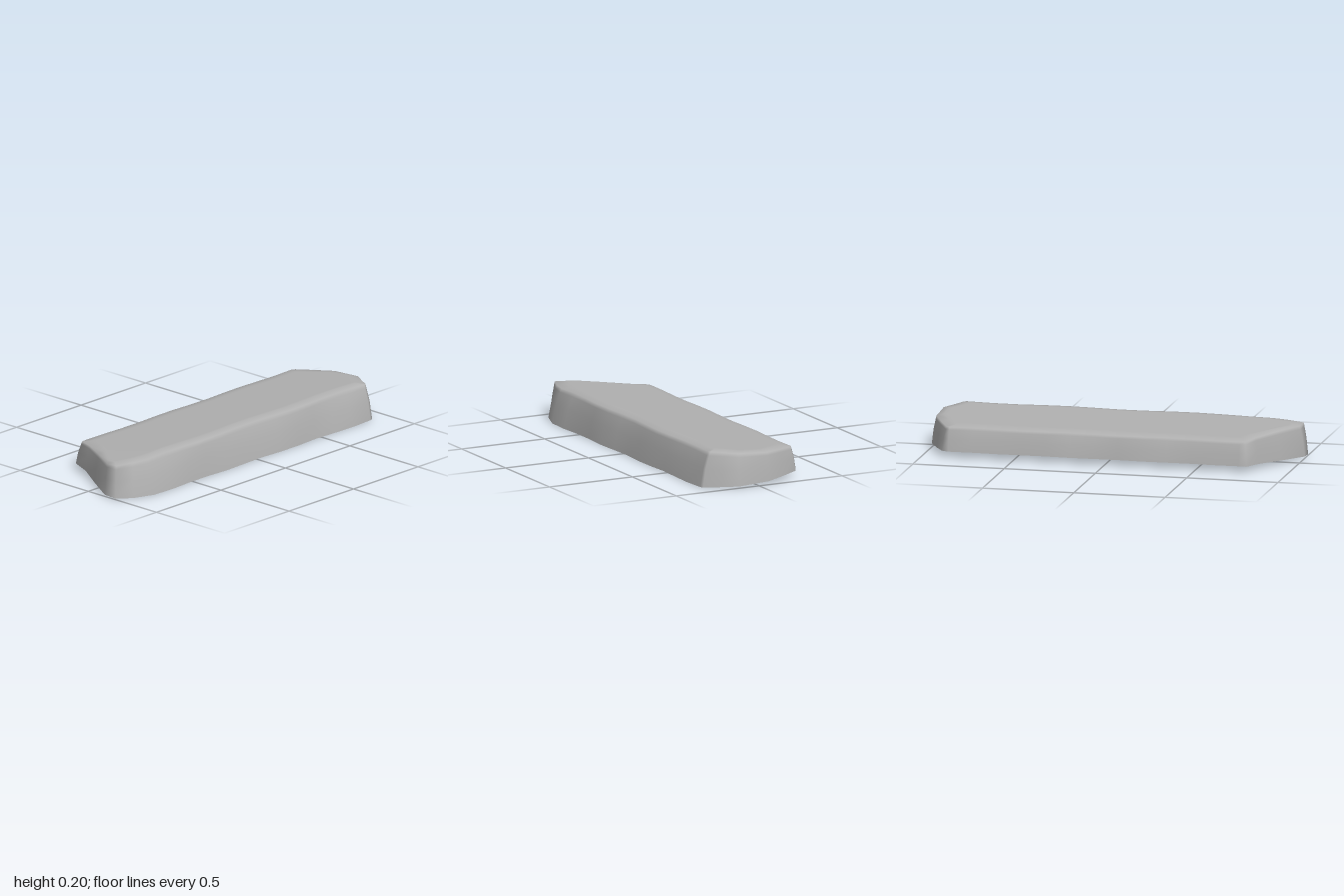
import * as THREE from 'three';

// Worn stone slab: stacked outline rings with a tapered side and a soft top edge
export function createModel() {
  const group = new THREE.Group();
  const stone = new THREE.MeshStandardMaterial({ color: 0xb0b0b0 });
  stone.name = 'grey stone';

  // Outline corners, counter-clockwise from above: [foot x, foot z, rim x, rim z]
  const outline = [[0.2, 1.0, 0.185, 0.98], [0.255, 0.92, 0.22, 0.89]];
  // left long side, gently chipped
  for (let i = 0; i <= 12; i++) {
    const z = 0.8 - i * 0.14, w = Math.sin(i * 1.9);
    outline.push([0.295 + 0.005 * w, z, 0.243 - 0.008 * Math.sin(i * 1.3 + 0.5), z]);
  }
  // rounded back end
  outline.push([0.285, -0.9, 0.24, -0.895], [0.2, -0.955, 0.18, -0.93], [0.12, -1, 0.11, -0.975],
    [-0.06, -1, -0.06, -0.975], [-0.18, -0.945, -0.17, -0.92], [-0.275, -0.895, -0.255, -0.875]);
  // right long side
  for (let i = 0; i <= 12; i++) {
    const z = -0.855 + i * 0.1325;
    outline.push([-0.297 + 0.004 * Math.sin(i * 2.1), z, -0.268 + 0.005 * Math.sin(i * 1.5), z]);
  }
  // slanted front end
  outline.push([-0.3, 0.78, -0.268, 0.765], [-0.19, 0.82, -0.18, 0.8],
    [-0.04, 0.91, -0.035, 0.885], [0.12, 1, 0.115, 0.975]);

  const n = outline.length;
  const footY = (x) => 0.016 - 0.0533 * x;
  const topY = (x) => 0.183 + 0.066 * x;
  const mix = THREE.MathUtils.lerp;

  // Each ring: blend from foot to rim, height fraction, final shrink for the flat top
  const rings = [[0, 0, 0], [0.38, 0.5, 0], [0.85, 0.85, 0], [1, 0.955, 0], [1, 1, 0.045], [1, 1, 0.075]];
  const pos = [], index = [];
  for (const [blend, h, shrink] of rings) {
    for (const [fx, fz, rx, rz] of outline) {
      let x = mix(fx, rx, blend), z = mix(fz, rz, blend);
      x -= Math.sign(x) * Math.min(Math.abs(x) * 0.25, shrink);
      z *= 1 - shrink * 0.8;
      // the front left corner dips a little
      const dip = 0.006 * THREE.MathUtils.smoothstep(z + x, 0.8, 1.1) * h;
      pos.push(x, mix(footY(x), topY(x), h) - dip, z);
    }
  }
  for (let r = 0; r < rings.length - 1; r++) {
    for (let i = 0; i < n; i++) {
      const a = r * n + i, b = r * n + (i + 1) % n;
      index.push(a, b, b + n, a, b + n, a + n);
    }
  }
  const ringFaces = (r) => {
    const pts = [];
    for (let i = 0; i < n; i++) {
      const k = (r * n + i) * 3;
      pts.push(new THREE.Vector2(pos[k], -pos[k + 2]));
    }
    return THREE.ShapeUtils.triangulateShape(pts, []);
  };
  const topStart = (rings.length - 1) * n;
  for (const f of ringFaces(rings.length - 1)) index.push(...f.map((i) => i + topStart));

  const addMesh = (name, p, idx) => {
    const g = new THREE.BufferGeometry();
    g.setAttribute('position', new THREE.Float32BufferAttribute(p, 3));
    g.setIndex(idx);
    g.computeVertexNormals();
    const mesh = new THREE.Mesh(g, stone);
    mesh.name = name;
    group.add(mesh);
  };
  addMesh('slabBody', pos, index);

  // Flat underside with a sharp edge
  const under = [];
  for (const [a, b, c] of ringFaces(0)) under.push(c, b, a);
  addMesh('slabUnderside', pos.slice(0, n * 3), under);
  return group;
}
